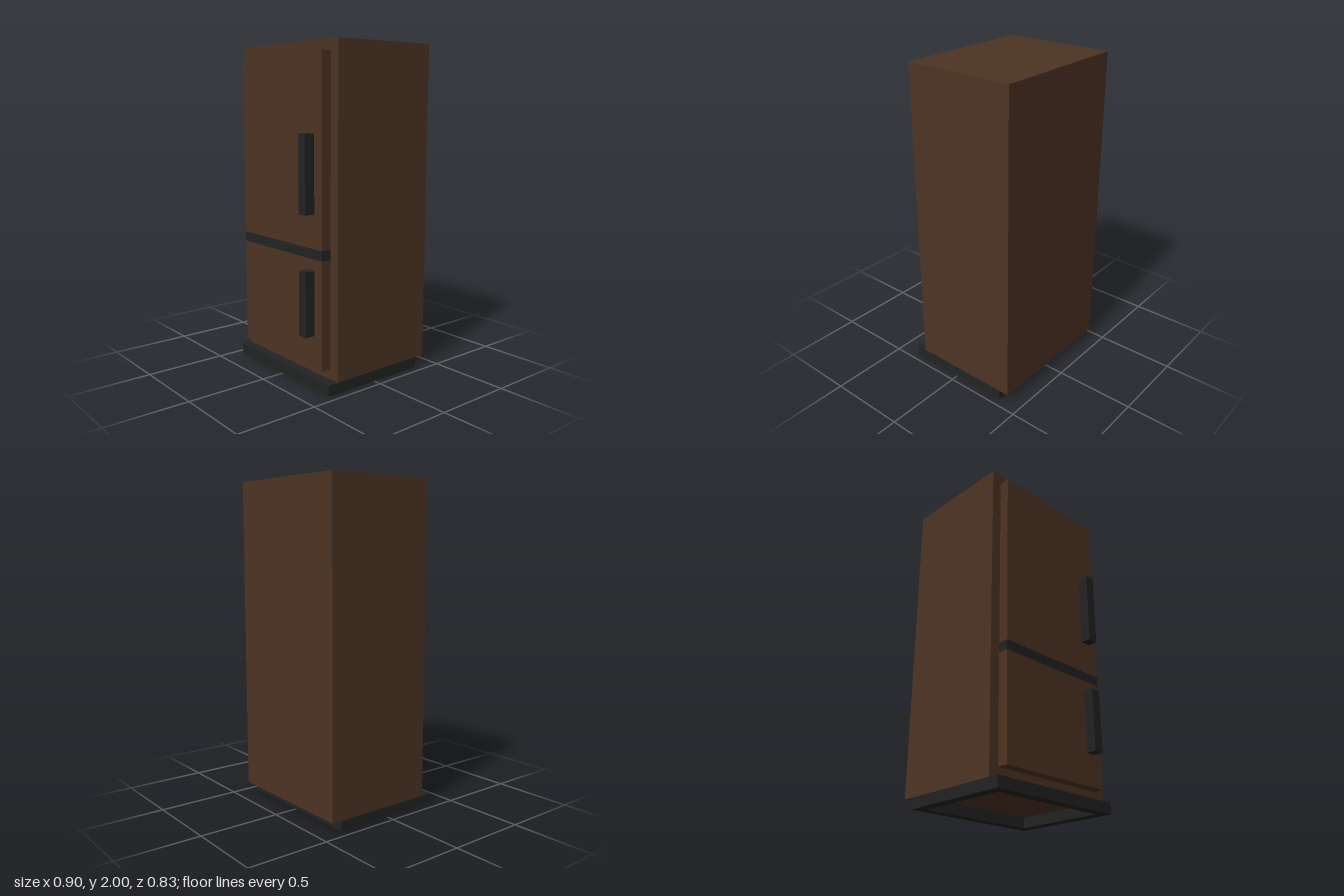
import * as THREE from 'three';

export function createModel() {
  const brown = new THREE.MeshStandardMaterial({ color: 0x4e3423 });
  brown.name = 'brown';
  const black = new THREE.MeshStandardMaterial({ color: 0x222323 });
  black.name = 'black';

  const model = new THREE.Group();
  model.name = 'refrigerator';

  // Box given by its min and max corner
  const addBox = (name, material, [x0, y0, z0], [x1, y1, z1]) => {
    const mesh = new THREE.Mesh(new THREE.BoxGeometry(x1 - x0, y1 - y0, z1 - z0), material);
    mesh.position.set((x0 + x1) / 2, (y0 + y1) / 2, (z0 + z1) / 2);
    mesh.name = name;
    model.add(mesh);
  };

  const bodyFront = 0.29, doorFront = 0.354, baseTop = 0.066, doorX = 0.387;

  addBox('cabinet', brown, [-0.45, baseTop, -0.417], [0.45, 2, bodyFront]);

  // Doors with a dark divider between them
  addBox('upperDoor', brown, [-doorX, 0.836, bodyFront], [doorX, 1.936, doorFront]);
  addBox('doorDivider', black, [-doorX, 0.776, bodyFront], [doorX, 0.836, doorFront]);
  addBox('lowerDoor', brown, [-doorX, 0.13, bodyFront], [doorX, 0.776, doorFront]);

  // Handles
  addBox('upperHandle', black, [0.256, 1.035, doorFront], [0.32, 1.488, 0.417]);
  addBox('lowerHandle', black, [0.256, 0.326, doorFront], [0.32, 0.71, 0.417]);

  // Hollow plinth frame, open underneath, set forward of the cabinet
  const frame = new THREE.Shape([
    new THREE.Vector2(-0.45, -doorFront), new THREE.Vector2(0.45, -doorFront),
    new THREE.Vector2(0.45, 0.353), new THREE.Vector2(-0.45, 0.353),
  ]);
  frame.holes.push(new THREE.Path([
    new THREE.Vector2(-doorX, -bodyFront), new THREE.Vector2(-doorX, 0.29),
    new THREE.Vector2(doorX, 0.29), new THREE.Vector2(doorX, -bodyFront),
  ]));
  const plinth = new THREE.Mesh(
    new THREE.ExtrudeGeometry(frame, { depth: baseTop, bevelEnabled: false }), black);
  plinth.rotation.x = -Math.PI / 2;
  plinth.name = 'plinth';
  model.add(plinth);

  return model;
}
